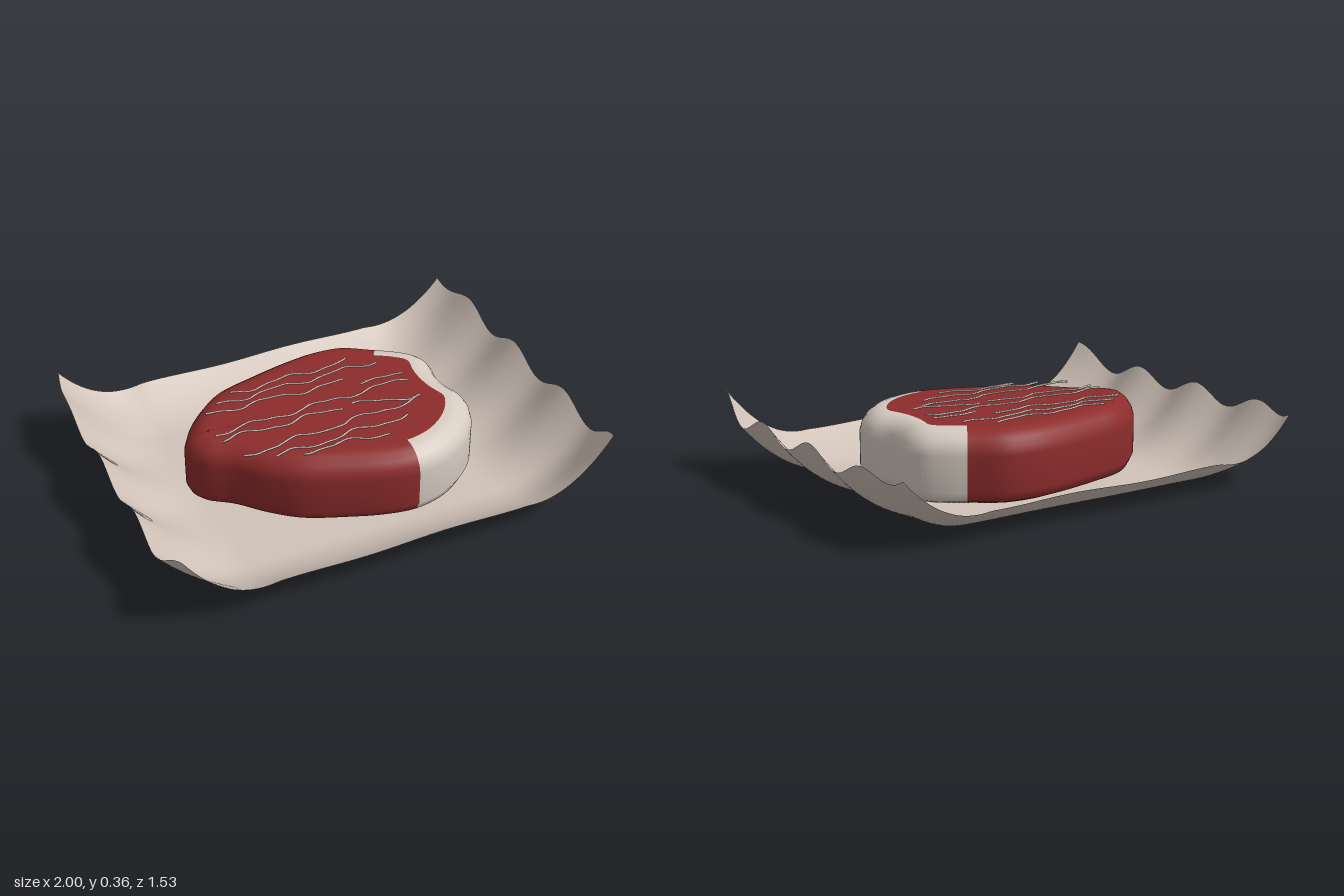
import * as THREE from 'three';

const mat = (name, color, extra = {}) => {
  const m = new THREE.MeshStandardMaterial({ color, ...extra });
  m.name = name;
  return m;
};

// 0 up to a start distance, then rising to 1 at the edge
const ramp = (v, start, end) => Math.max(0, (Math.abs(v) - start) / (end - start));

// Sheet of wrapping paper: flat middle, edges curled up, rippled at the sides
function makePaper(material) {
  const geo = new THREE.PlaneGeometry(2, 1.535, 90, 80).rotateX(-Math.PI / 2);
  const p = geo.attributes.position;
  for (let i = 0; i < p.count; i++) {
    const x = p.getX(i), z = p.getZ(i);
    const side = ramp(x, 0.57, 1), end = ramp(z, 0.5, 0.7675);
    const ripple = 0.035 * Math.cos((z - 0.32) * 15) * side ** 1.5;
    const y = 0.004 + 0.27 * side ** 2.1 + ripple
      + (0.125 + 0.005 * Math.sin(x * 9)) * end ** 1.7 * (1 - 0.55 * side);
    p.setXYZ(i, x * (1 - 0.04 * end ** 1.5 * side), y, z);
  }
  geo.computeVertexNormals();
  const mesh = new THREE.Mesh(geo, material);
  mesh.name = 'wrappingPaper';
  return mesh;
}

// Outline of the steak seen from above, as x, z
const OUTLINE = [
  [-0.64, -0.04], [-0.6, -0.14], [-0.5, -0.26], [-0.38, -0.35], [-0.2, -0.405],
  [0, -0.45], [0.14, -0.465], [0.28, -0.445], [0.41, -0.365], [0.5, -0.305],
  [0.57, -0.235], [0.595, -0.15], [0.578, -0.05], [0.58, 0.03], [0.606, 0.13],
  [0.6, 0.2], [0.55, 0.3], [0.46, 0.395], [0.34, 0.465], [0.2, 0.495],
  [0.06, 0.475], [-0.1, 0.42], [-0.28, 0.34], [-0.4, 0.24], [-0.5, 0.13], [-0.6, 0.05],
];

// Rounded side of the steak from base to top, as inset, y
const SIDE = [
  [0.06, 0.012], [0.02, 0.028], [0, 0.07], [0, 0.225], [0.01, 0.262],
  [0.03, 0.292], [0.06, 0.314], [0.09, 0.323], [0.118, 0.325],
];

// Steak: inset rings of the outline joined up, with a strip of fat along one side
function makeSteak(meat, fat) {
  const N = 160;
  const curve = new THREE.CatmullRomCurve3(
    OUTLINE.map(([x, z]) => new THREE.Vector3(x, 0, z)), true);
  const pts = [], normals = [];
  for (let i = 0; i < N; i++) {
    const t = curve.getTangentAt(i / N);
    pts.push(curve.getPointAt(i / N));
    normals.push(new THREE.Vector3(t.z, 0, -t.x));
  }
  const pos = [];
  const centreRing = (y) => pts.forEach(() => pos.push(0, y, 0));
  centreRing(SIDE[0][1]);
  for (const [inset, y] of SIDE) {
    pts.forEach((q, i) => pos.push(q.x - normals[i].x * inset, y, q.z - normals[i].z * inset));
  }
  centreRing(SIDE[SIDE.length - 1][1]);

  const meatFaces = [], fatFaces = [];
  for (let r = 0; r <= SIDE.length; r++) {
    for (let i = 0; i < N; i++) {
      const j = (i + 1) % N, q = pts[i];
      const fatty = q.x > 0.41 - (q.z + 0.365) * 0.222 && r < SIDE.length;
      const a = r * N + i, b = r * N + j, c = b + N, d = a + N;
      const faces = fatty ? fatFaces : meatFaces;
      if (r > 0) faces.push(b, a, d);
      if (r < SIDE.length) faces.push(b, d, c);
    }
  }
  const geo = new THREE.BufferGeometry();
  geo.setAttribute('position', new THREE.Float32BufferAttribute(pos, 3));
  geo.setIndex([...meatFaces, ...fatFaces]);
  geo.addGroup(0, meatFaces.length, 0);
  geo.addGroup(meatFaces.length, fatFaces.length, 1);
  geo.computeVertexNormals();
  const mesh = new THREE.Mesh(geo, [meat, fat]);
  mesh.name = 'steak';
  return mesh;
}

// Marbling veins: start x, z and end x, z
const VEINS = [
  [-0.34, -0.25, 0.23, -0.27], [-0.43, -0.2, 0.34, -0.21], [-0.5, -0.15, 0.15, -0.13],
  [0.2, -0.1, 0.41, -0.06], [-0.52, 0, 0.41, -0.03], [-0.51, 0.05, 0.05, 0.05],
  [0.1, 0.05, 0.4, 0.11], [-0.47, 0.19, 0.37, 0.13], [-0.35, 0.25, 0.28, 0.22],
  [-0.24, 0.27, 0.15, 0.3],
];

function makeMarbling(material) {
  const group = new THREE.Group();
  group.name = 'marbling';
  VEINS.forEach(([x0, z0, x1, z1], k) => {
    const points = [];
    for (let i = 0; i <= 16; i++) {
      const t = i / 16, x = x0 + (x1 - x0) * t;
      const wave = 0.016 * Math.sin(x * 20 + k * 1.3) + 0.006 * Math.sin(x * 43 + k * 2);
      points.push(new THREE.Vector3(x, 0.326, z0 + (z1 - z0) * t + wave));
    }
    const path = new THREE.CatmullRomCurve3(points);
    const vein = new THREE.Mesh(new THREE.TubeGeometry(path, 48, 0.005, 5), material);
    vein.name = 'vein';
    group.add(vein);
  });
  return group;
}

export function createModel() {
  const paper = mat('paper', 0xd0c2b8, { side: THREE.DoubleSide });
  const meat = mat('meat', 0x8e2c2c);
  const fat = mat('fat', 0xd6cbc1);
  const model = new THREE.Group();
  model.name = 'steakOnPaper';
  model.add(makePaper(paper), makeSteak(meat, fat), makeMarbling(fat));
  return model;
}
